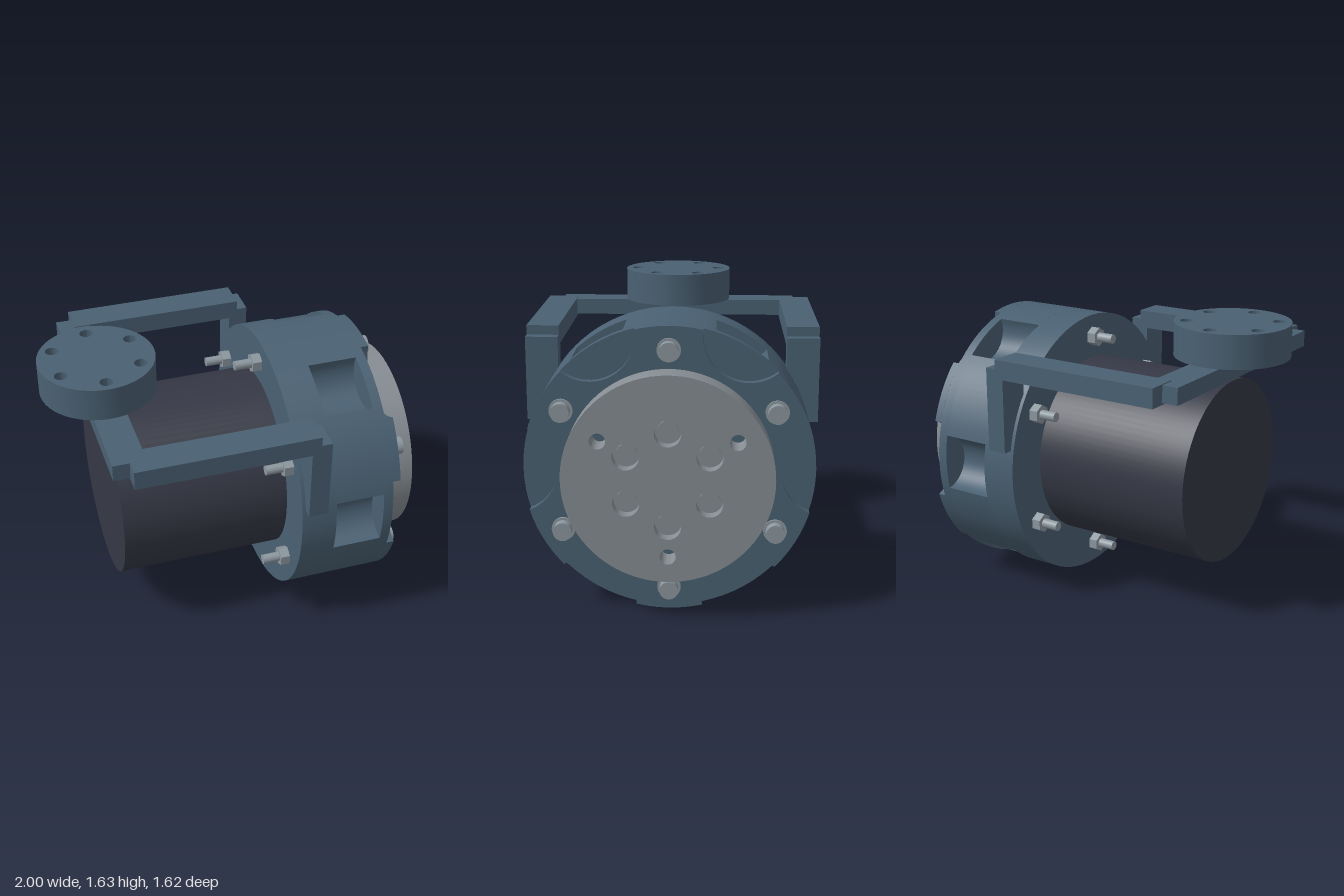
import * as THREE from 'three';
import { toCreasedNormals } from 'three/addons/utils/BufferGeometryUtils.js';

const material = (name, color) => {
  const m = new THREE.MeshStandardMaterial({ color });
  m.name = name;
  return m;
};
const TAU = Math.PI * 2;
const polar = (r, a) => new THREE.Vector2(r * Math.cos(a), r * Math.sin(a));

// Disc outline with round holes, each given as [x, y, radius]
function discShape(radius, holes = []) {
  const shape = new THREE.Shape().absarc(0, 0, radius, 0, TAU);
  for (const [x, y, r] of holes) {
    shape.holes.push(new THREE.Path().absarc(x, y, r, 0, TAU, true));
  }
  return shape;
}

// Disc outline with six circular bites (radius R, centred at distance c) in its rim
function bittenShape(r, c, R) {
  const h = Math.acos((r * r + c * c - R * R) / (2 * r * c));
  const phi = Math.atan2(r * Math.sin(h), r * Math.cos(h) - c);
  const pts = [];
  for (let k = 0; k < 6; k++) {
    const a = (k * TAU) / 6;
    const centre = polar(c, a);
    for (let i = 0; i <= 20; i++) {
      const t = TAU - phi + ((2 * phi - TAU) * i) / 20;
      pts.push(polar(R, a + t).add(centre));
    }
    for (let i = 1; i < 12; i++) {
      pts.push(polar(r, a + h + ((TAU / 6 - 2 * h) * i) / 12));
    }
  }
  return new THREE.Shape(pts);
}

// Outline swept along the main axis from z0 to z1
function slab(shape, z0, z1) {
  const g = new THREE.ExtrudeGeometry(shape, { depth: z1 - z0, bevelEnabled: false, curveSegments: 40 });
  g.translate(0, 0, z0);
  return toCreasedNormals(g, 0.5);
}

// Cylinder along the main axis from z0 to z1
function rod(r, z0, z1, sides = 24) {
  const g = new THREE.CylinderGeometry(r, r, z1 - z0, sides);
  g.rotateX(Math.PI / 2).translate(0, 0, (z0 + z1) / 2);
  return sides <= 6 ? toCreasedNormals(g, 0.5) : g;
}

export function createModel() {
  const blue = material('blue grey housing', 0x4a6173);
  const dark = material('dark motor', 0x353845);
  const plate = material('grey plate', 0x868d93);
  const steel = material('steel fasteners', 0x8c979f);

  const model = new THREE.Group();
  model.name = 'motorUnit';
  const add = (parent, name, geometry, mat) => {
    const mesh = new THREE.Mesh(geometry, mat);
    mesh.name = name;
    parent.add(mesh);
    return mesh;
  };

  // Drive: built along z, then turned so its output faces +x
  const drive = new THREE.Group();
  drive.name = 'drive';
  drive.position.y = 0.777;
  drive.rotation.y = Math.PI / 2;
  model.add(drive);

  add(drive, 'motorBody', rod(0.525, -0.69, 0.26, 96), dark);

  // Housing: plain rings alternating with pocketed and scalloped ones
  const R = 0.775;
  add(drive, 'housingRear', slab(discShape(R), 0.25, 0.45), blue);
  add(drive, 'housingPockets', slab(bittenShape(R, 0.78, 0.16), 0.45, 0.73), blue);
  add(drive, 'housingBand', slab(discShape(R), 0.73, 0.785), blue);
  add(drive, 'housingScallops', slab(bittenShape(R, 0.83, 0.24), 0.785, 0.83), blue);
  add(drive, 'outputHub', rod(0.35, 0.82, 0.86, 64), blue);

  // Output plate with six counterbored screws and three small holes
  const holes = [];
  for (let k = 0; k < 6; k++) {
    const a = Math.PI / 6 + (k * TAU) / 6;
    const p = polar(0.25, a);
    holes.push([p.x, p.y, 0.07]);
    if (k % 2 === 0) {
      const q = polar(0.415, a);
      holes.push([q.x, q.y, 0.042]);
    }

    const screw = new THREE.Group();
    screw.name = 'plateScrew';
    screw.position.set(p.x, p.y, 0);
    drive.add(screw);
    add(screw, 'counterboreFloor', rod(0.0705, 0.86, 0.93), plate);
    add(screw, 'screwHead', rod(0.055, 0.93, 0.945), plate);

    // Through bolts around the rim
    const b = polar(0.65, a);
    const bolt = new THREE.Group();
    bolt.name = 'rimBolt';
    bolt.position.set(b.x, b.y, 0);
    drive.add(bolt);
    add(bolt, 'boltHead', rod(0.05, 0.83, 0.895), steel);
    add(bolt, 'washer', rod(0.063, 0.825, 0.842), steel);
    add(bolt, 'nut', rod(0.055, 0.197, 0.252, 6), steel);
    add(bolt, 'boltEnd', rod(0.027, 0.1, 0.2), steel);
  }
  add(drive, 'outputPlate', slab(discShape(0.555, holes), 0.85, 1.0), plate);

  // Bracket over the motor
  const bracket = new THREE.Group();
  bracket.name = 'bracket';
  model.add(bracket);
  const box = (name, x0, x1, y0, y1, z0, z1) => {
    const g = new THREE.BoxGeometry(x1 - x0, y1 - y0, z1 - z0);
    g.translate((x0 + x1) / 2, (y0 + y1) / 2, (z0 + z1) / 2);
    add(bracket, name, g, blue);
  };
  box('crossBar', -0.77, -0.59, 1.355, 1.448, -0.72, 0.72);
  for (const [side, z0, z1] of [['left', -0.81, -0.63], ['right', 0.63, 0.81]]) {
    box(side === 'left' ? 'rearArm' : 'frontArm', -0.68, 0.32, 1.345, 1.453, z0, z1);
    box(side === 'left' ? 'rearPost' : 'frontPost', 0.27, 0.38, 0.93, 1.4, z0, z1);
  }

  // Mounting disc with six holes on the cross bar
  const mountHoles = [];
  for (let k = 0; k < 6; k++) {
    const p = polar(0.25, Math.PI / 6 + (k * TAU) / 6);
    mountHoles.push([p.x, p.y, 0.036]);
  }
  const disc = slab(discShape(0.32, mountHoles), 0, 0.187);
  disc.rotateX(-Math.PI / 2).translate(-0.68, 1.448, 0);
  add(bracket, 'mountingDisc', disc, blue);

  return model;
}
